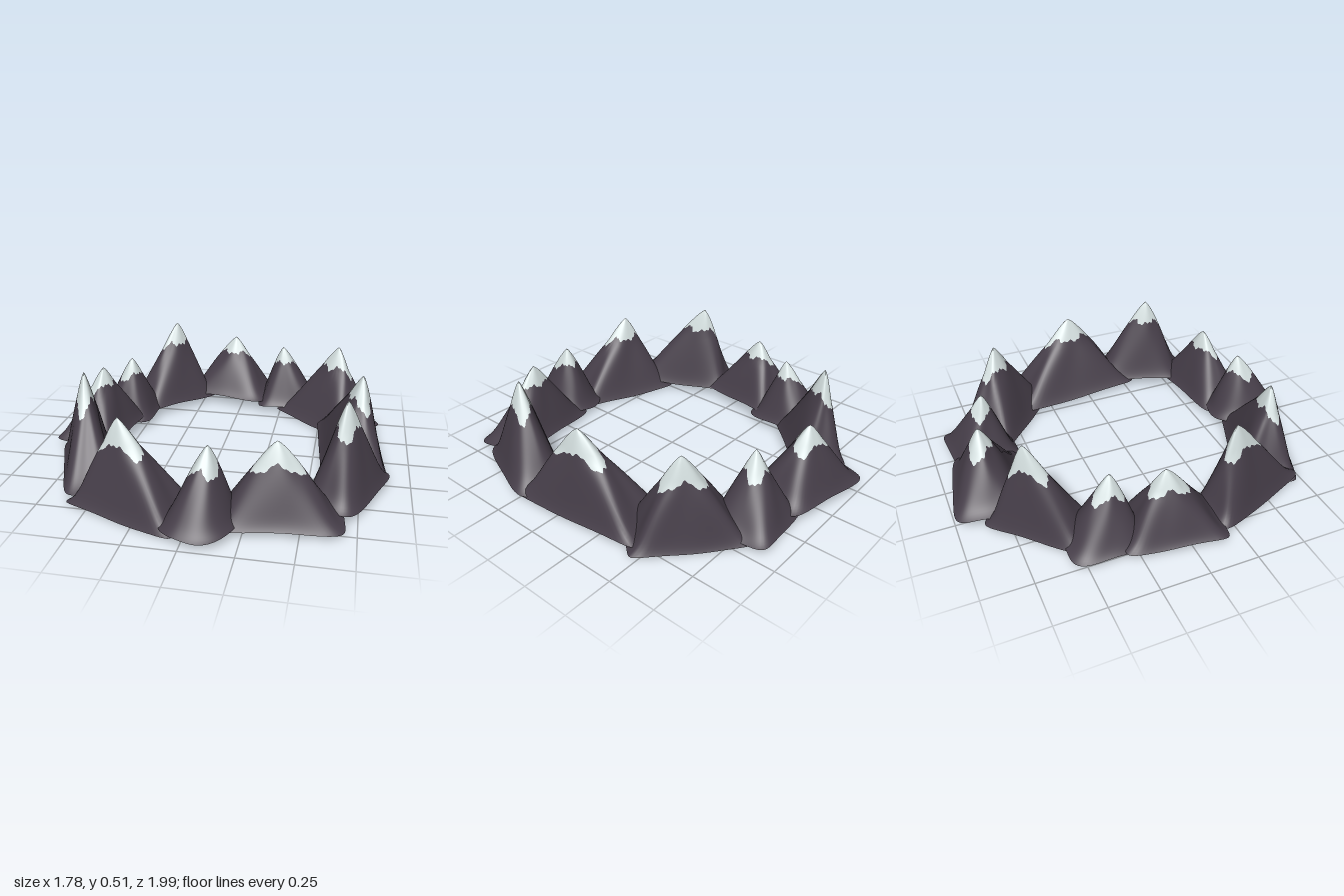
import * as THREE from 'three';

const rock = new THREE.MeshStandardMaterial({ color: 0x463e49, side: THREE.DoubleSide });
rock.name = 'dark rock';
const snow = new THREE.MeshStandardMaterial({ color: 0xd3dede, side: THREE.DoubleSide });
snow.name = 'snow';

// Each mountain: footprint centre, heading in degrees (its +across side faces out of the ring),
// half length, half width, peak position, peak height, base height and squareness of the footprint
const mountains = [
  { c: [-0.08, -0.79], a: 191, l: 0.25, w: 0.175, p: [-0.06, -0.80], h: 0.40, b: 0.055, n: 7 },
  { c: [0.29, -0.74], a: 175, l: 0.18, w: 0.17, p: [0.25, -0.71], h: 0.38, b: 0.03, n: 7 },
  { c: [0.54, -0.54], a: 221, l: 0.27, w: 0.165, p: [0.59, -0.55], h: 0.45, b: 0.005, n: 14 },
  { c: [0.69, -0.085], a: 264.5, l: 0.355, w: 0.165, p: [0.735, -0.06], h: 0.46, b: 0.025, n: 14 },
  { c: [0.69, 0.385], a: 292, l: 0.255, w: 0.145, p: [0.67, 0.42], h: 0.51, b: 0.04, n: 5 },
  { c: [0.39, 0.68], a: -7, l: 0.285, w: 0.155, p: [0.38, 0.67], h: 0.40, b: 0.025, n: 7 },
  { c: [0.06, 0.78], a: 15, l: 0.165, w: 0.21, p: [0.08, 0.73], h: 0.38, b: 0.035, n: 2.5 },
  { c: [-0.28, 0.68], a: 21, l: 0.295, w: 0.16, p: [-0.35, 0.67], h: 0.45, b: 0, n: 14 },
  { c: [-0.61, 0.40], a: 68, l: 0.29, w: 0.13, p: [-0.65, 0.29], h: 0.51, b: 0.04, n: 8 },
  { c: [-0.695, -0.06], a: 99, l: 0.24, w: 0.165, p: [-0.69, -0.09], h: 0.40, b: 0.055, n: 12 },
  { c: [-0.625, -0.37], a: 92, l: 0.19, w: 0.165, p: [-0.60, -0.33], h: 0.38, b: 0.04, n: 5 },
  { c: [-0.43, -0.61], a: 134, l: 0.25, w: 0.135, p: [-0.41, -0.67], h: 0.51, b: 0.04, n: 8 },
];

const SIDES = 96, ROCK_ROWS = 16, SNOW_ROWS = 8;

// Surface point at angle t around and fraction u of the way up
function surfacePoint(m, seed, t, u) {
  const n = THREE.MathUtils.lerp(m.n, 2, Math.min(1, Math.sqrt(u) * 1.2));
  const ct = Math.cos(t), st = Math.sin(t);
  const square = Math.pow(Math.pow(Math.abs(ct), n) + Math.pow(Math.abs(st), n), -1 / n);
  const slope = 0.93 * Math.pow(1 - u, 0.82);
  const ridges = 1 + 0.02 * u * Math.sin(3 * t + seed) + 0.04 * u * Math.sin(5 * t + seed * 2 + u * 3);
  const r = square * ridges;
  // The skirt flares out further at the ends, where it runs under the neighbours
  const skirt = Math.exp(-u * 15);
  const along = r * (slope + 0.12 * skirt) * ct * m.l;
  const across = r * (slope + 0.07 * skirt) * st * m.w;
  const a = THREE.MathUtils.degToRad(m.a), ca = Math.cos(a), sa = Math.sin(a);
  const rim = 0.005 * (1 + Math.sin(4 * t + seed * 3)) * (1 - u);
  return [
    THREE.MathUtils.lerp(m.c[0], m.p[0], u) + along * ca - across * sa,
    THREE.MathUtils.lerp(m.b, m.h, u) + rim,
    THREE.MathUtils.lerp(m.c[1], m.p[1], u) + along * sa + across * ca,
  ];
}

// Ragged lower edge of the snow cap: deep shoulders outward, a short tongue inward
function snowLine(seed, t) {
  return 0.697 - 0.04 * Math.sin(t) - 0.033 * Math.cos(2 * t) - 0.05 * Math.sin(3 * t)
    + 0.018 * Math.sin(7 * t + seed) + 0.012 * Math.sin(17 * t + seed * 5);
}

function mountainGeometry(m, seed) {
  const rows = ROCK_ROWS + SNOW_ROWS, positions = [], index = [];
  for (let j = 0; j <= rows; j++) {
    for (let i = 0; i < SIDES; i++) {
      const t = (i / SIDES) * Math.PI * 2;
      const line = snowLine(seed, t);
      // Rows crowd toward the base so the flared skirt stays smooth
      const u = j <= ROCK_ROWS
        ? line * Math.pow(j / ROCK_ROWS, 1.4)
        : line + (1 - line) * (j - ROCK_ROWS) / SNOW_ROWS;
      positions.push(...surfacePoint(m, seed, t, Math.min(u, 1)));
    }
  }
  for (let j = 0; j < rows; j++) {
    for (let i = 0; i < SIDES; i++) {
      const a = j * SIDES + i, b = j * SIDES + (i + 1) % SIDES;
      index.push(a, a + SIDES, b, b, a + SIDES, b + SIDES);
    }
  }
  const g = new THREE.BufferGeometry();
  g.setAttribute('position', new THREE.Float32BufferAttribute(positions, 3));
  g.setIndex(index);
  g.computeVertexNormals();
  // Rock below the snow line, snow above it
  g.addGroup(0, ROCK_ROWS * SIDES * 6, 0);
  g.addGroup(ROCK_ROWS * SIDES * 6, SNOW_ROWS * SIDES * 6, 1);
  return g;
}

export function createModel() {
  const group = new THREE.Group();
  group.name = 'mountainRing';
  mountains.forEach((m, i) => {
    const mesh = new THREE.Mesh(mountainGeometry(m, i * 1.7 + 0.4), [rock, snow]);
    mesh.name = `mountain${i + 1}`;
    group.add(mesh);
  });
  return group;
}
